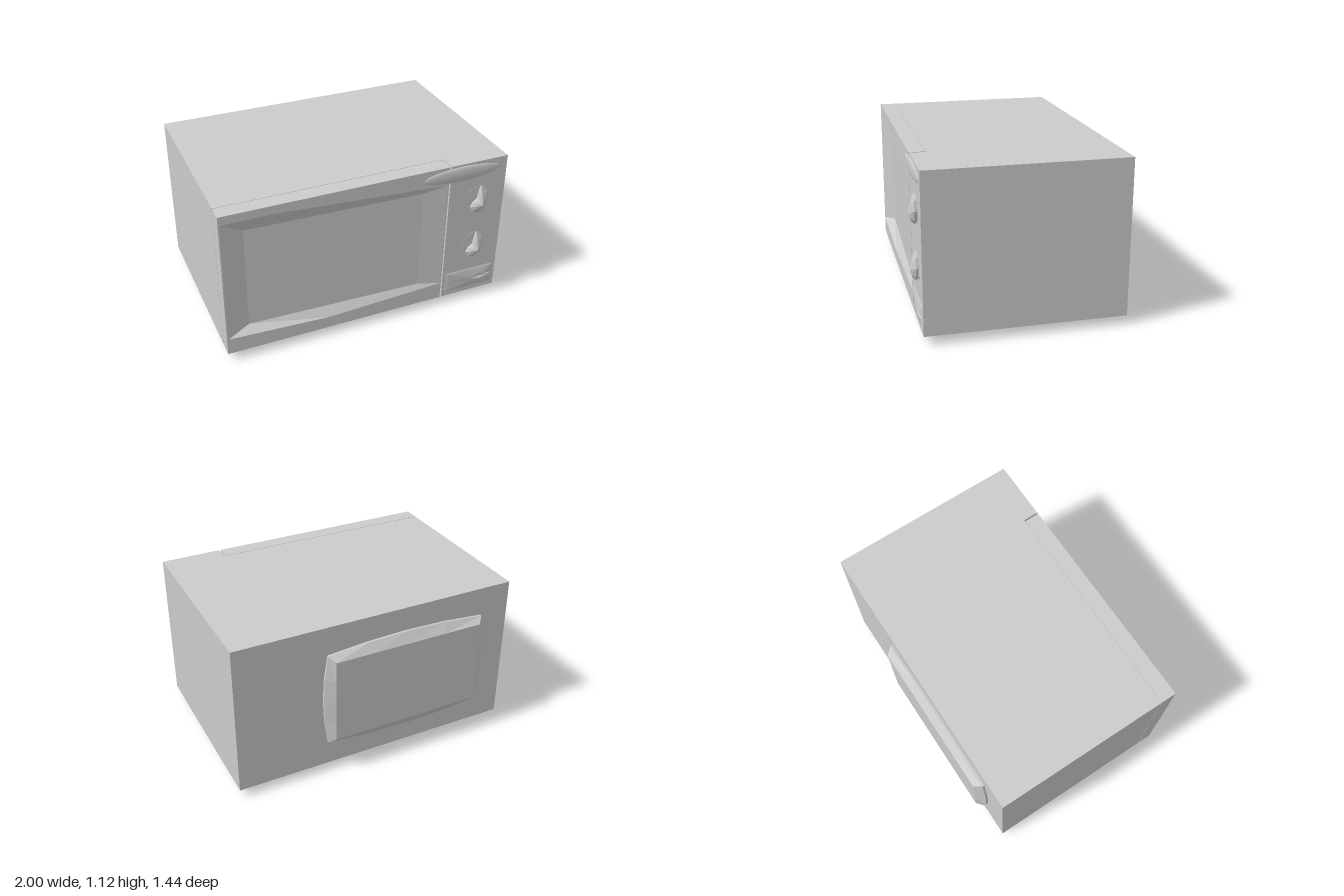
import * as THREE from 'three';

const material = new THREE.MeshStandardMaterial({ color: 0xcccccc, side: THREE.DoubleSide });
const flat = new THREE.MeshStandardMaterial({ color: 0xcccccc, side: THREE.DoubleSide, flatShading: true });

function add(parent, name, geometry, mat = material) {
  const mesh = new THREE.Mesh(geometry, mat);
  mesh.name = name;
  parent.add(mesh);
  return mesh;
}

// Box given by its lower and upper corners
function box(parent, name, lo, hi) {
  const size = hi.map((v, i) => v - lo[i]);
  const mesh = add(parent, name, new THREE.BoxGeometry(...size));
  mesh.position.set(...hi.map((v, i) => (v + lo[i]) / 2));
  return mesh;
}

// Faceted surface from polygons, each a counter-clockwise list of points
function facets(polygons) {
  const pos = [];
  for (const p of polygons)
    for (let i = 1; i < p.length - 1; i++) pos.push(...p[0], ...p[i], ...p[i + 1]);
  const g = new THREE.BufferGeometry();
  g.setAttribute('position', new THREE.Float32BufferAttribute(pos, 3));
  g.computeVertexNormals();
  return g;
}

// Joins matching loops rising along +z, closed by a fan to the apex
function loft(loops, apex) {
  const polys = [];
  const n = loops[0].length;
  for (let i = 0; i < n; i++) {
    const j = (i + 1) % n;
    for (let k = 0; k < loops.length - 1; k++)
      polys.push([loops[k][i], loops[k][j], loops[k + 1][j], loops[k + 1][i]]);
    const top = loops[loops.length - 1];
    polys.push([top[i], top[j], apex]);
  }
  return facets(polys);
}

const atZ = (points, z) => points.map(([x, y]) => [x, y, z]);
const rect = (x0, x1, y0, y1) => [[x0, y0], [x1, y0], [x1, y1], [x0, y1]];

// Rectangle whose sides bow outwards by the given amount
function bowedRect(x0, x1, y0, y1, bow, steps = 4) {
  const c = rect(x0, x1, y0, y1);
  const out = [[0, -1], [1, 0], [0, 1], [-1, 0]];
  const points = [];
  for (let s = 0; s < 4; s++) {
    const a = c[s], b = c[(s + 1) % 4];
    for (let i = 0; i < steps; i++) {
      const t = i / steps, d = bow * 4 * t * (1 - t);
      points.push([a[0] + (b[0] - a[0]) * t + out[s][0] * d, a[1] + (b[1] - a[1]) * t + out[s][1] * d]);
    }
  }
  return points;
}

function createDoor() {
  const door = new THREE.Group();
  door.name = 'door';
  const z = 0.67;
  // Rim of the recess and the corners of the sunken window
  const [A, B, C, D, E, F] = atZ([[-0.99, 1.06], [-0.63, 1.06], [0.56, 0.985], [0.56, 0.185], [-0.28, 0.145], [-0.99, 0.18]], z);
  const a = [-0.83, 0.95, 0.61], b = [0.39, 0.95, 0.648], c = [0.39, 0.215, 0.648], d = [-0.83, 0.215, 0.61];

  const shape = new THREE.Shape(rect(-1, 0.567, 0.06, 1.12).map(p => new THREE.Vector2(...p)));
  shape.holes.push(new THREE.Path([A, B, C, D, E, F].map(p => new THREE.Vector2(p[0], p[1]))));
  const frame = add(door, 'doorFrame', new THREE.ExtrudeGeometry(shape, { depth: 0.107, bevelEnabled: false }));
  frame.position.z = 0.563;

  add(door, 'windowSurround', facets([
    [A, F, d, a], [A, a, B], [a, b, B], [B, b, C], [c, d, E], [c, E, D], [d, F, E],
  ]));
  add(door, 'window', facets([[a, d, c, b], [b, c, D, C]]));
  return door;
}

function createKnob(y) {
  const knob = new THREE.Group();
  knob.name = 'knob';
  const ring = add(knob, 'knobDial', new THREE.CylinderGeometry(0.1, 0.1, 0.003, 48));
  ring.rotation.x = Math.PI / 2;
  // Comma-shaped grip rising to a peak
  const outline = [[0.01, 0.1], [0, 0.06], [-0.01, 0.005], [-0.04, -0.02], [-0.056, -0.05],
    [-0.045, -0.085], [0, -0.1], [0.05, -0.07], [0.072, 0], [0.055, 0.065]];
  const peak = [0.015, -0.03];
  const shrunk = outline.map(p => p.map((v, i) => v + (peak[i] - v) * 0.35));
  add(knob, 'knobGrip', loft([atZ(outline, 0), atZ(outline, 0.015), atZ(shrunk, 0.032)], [...peak, 0.05]), flat);
  knob.position.set(0.8, y, 0.67);
  return knob;
}

export function createModel() {
  const model = new THREE.Group();
  model.name = 'microwaveOven';

  box(model, 'cabinet', [-1, 0.06, -0.66], [1, 1.12, 0.56]);
  box(model, 'controlPanel', [0.577, 0.06, 0.56], [1, 1.12, 0.67]);
  model.add(createDoor());

  for (const y of [0.83, 0.46]) model.add(createKnob(y));

  // Oval badge straddling the gap between door and panel
  const badge = add(model, 'ovalBadge', new THREE.SphereGeometry(1, 40, 24));
  badge.scale.set(0.285, 0.055, 0.014);
  badge.position.set(0.665, 1.05, 0.669);

  // Door release button with a dented diamond on top
  const rim = bowedRect(0.6, 0.98, 0.095, 0.25, 0, 2);
  const inset = bowedRect(0.62, 0.965, 0.105, 0.24, 0, 2);
  const diamond = [[0.83, 0.156], [0.87, 0.145], [0.91, 0.156], [0.95, 0.17],
    [0.91, 0.184], [0.87, 0.195], [0.83, 0.184], [0.79, 0.17]];
  add(model, 'releaseButton', loft([atZ(rim, 0.67), atZ(inset, 0.674), atZ(diamond, 0.683)], [0.87, 0.17, 0.673]), flat);

  // Bulging cover on the back, built facing +z and turned round
  const outer = bowedRect(-0.365, 0.785, 0.24, 0.92, 0.034);
  const inner = bowedRect(-0.33, 0.745, 0.285, 0.885, 0);
  const cover = add(model, 'backCover', loft([atZ(outer, 0.65), atZ(outer, 0.675), atZ(inner, 0.72)], [0.21, 0.585, 0.72]), flat);
  cover.rotation.y = Math.PI;

  // Tapered base tray, built facing +z and turned downwards
  const tray = add(model, 'baseTray', loft([
    atZ(rect(-0.87, 0.87, -0.52, 0.54), -0.06),
    atZ(rect(-0.7, 0.7, -0.41, 0.43), -0.015),
  ], [0, 0.01, -0.015]), flat);
  tray.rotation.x = Math.PI / 2;

  for (const x of [-0.64, 0.66])
    for (const z of [-0.33, 0.33]) {
      const foot = add(model, 'foot', new THREE.CylinderGeometry(0.02, 0.02, 0.02, 16));
      foot.position.set(x, 0.01, z);
    }

  return model;
}
